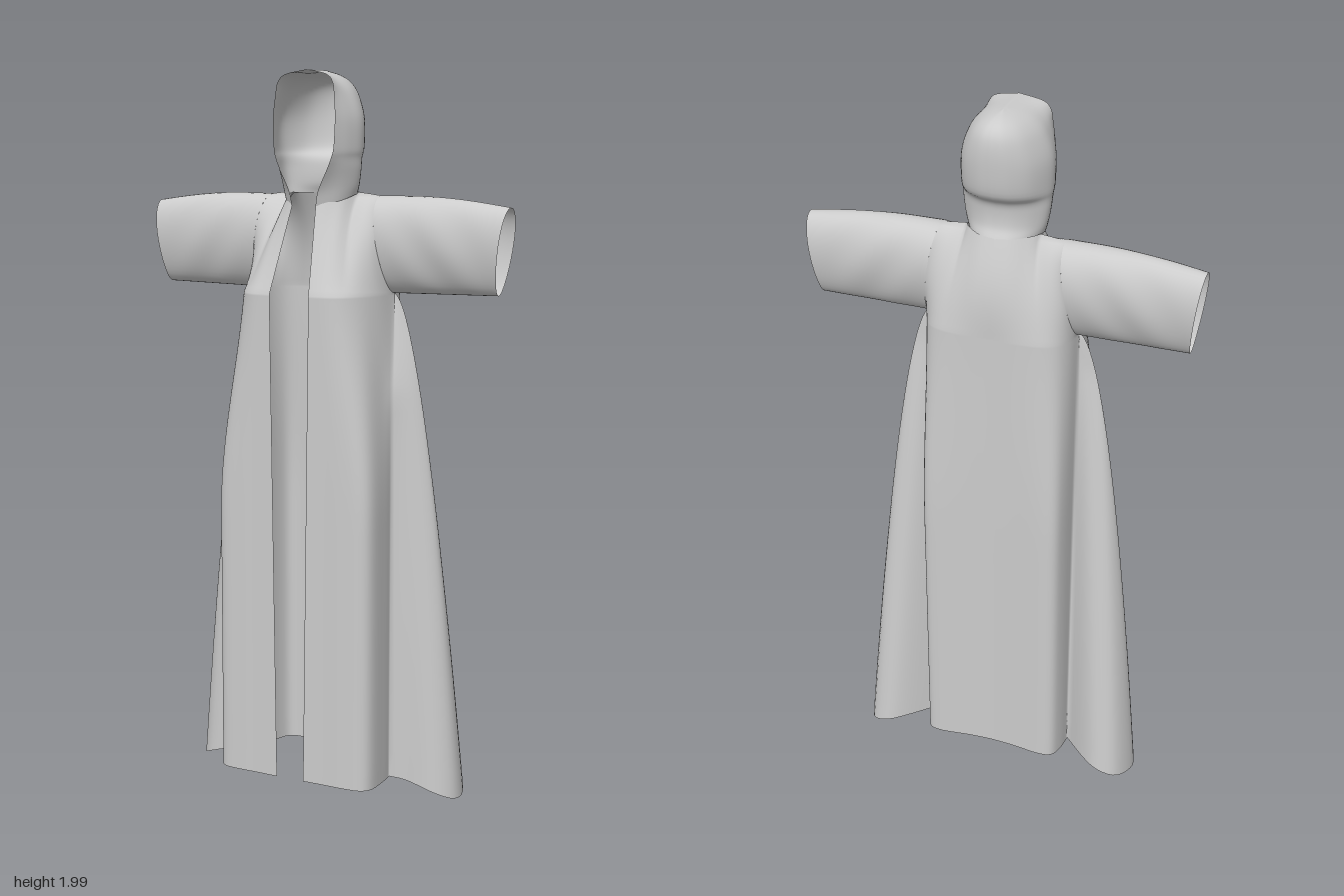
import * as THREE from 'three';
import { mergeGeometries, mergeVertices } from 'three/addons/utils/BufferGeometryUtils.js';

const V = (x, y, z) => new THREE.Vector3(x, y, z);
const { lerp, smoothstep } = THREE.MathUtils;
const spline = (pts, n) => new THREE.CatmullRomCurve3(pts, false, 'catmullrom', 0.5).getPoints(n);
const flip = (row) => row.map((p) => V(-p.x, p.y, p.z)).reverse();
// half row (front edge to centre back) -> whole row
const whole = (half) => [...half, ...flip(half).slice(1)];

// Surface through equally long rows of points, rows running upwards
function grid(rows) {
  const n = rows[0].length, index = [];
  for (let j = 0; j < rows.length - 1; j++) {
    for (let i = 0; i < n - 1; i++) {
      const a = j * n + i, b = a + 1, c = a + n, d = c + 1;
      index.push(a, b, d, a, d, c);
    }
  }
  const g = new THREE.BufferGeometry().setFromPoints(rows.flat());
  g.setIndex(index);
  return g;
}

function smoothMesh(name, geometries) {
  const g = mergeVertices(mergeGeometries(geometries), 1e-4);
  g.computeVertexNormals();
  const mesh = new THREE.Mesh(g, new THREE.MeshStandardMaterial({ color: 0xcccccc, side: THREE.DoubleSide }));
  mesh.name = name;
  return mesh;
}

const CHEST = 1.405, HEM = 0.06;

// Teardrop ring of armhole and cuff: a = 0 at the top, PI at the bottom, front is a in 0..PI
const ring = (a, x, lean, y, ry, z, rz) => V(
  x + lean * Math.cos(a), y + ry * Math.cos(a), z + rz * Math.sin(a) * (1 + 0.18 * Math.cos(a)),
);
const armhole = (a) => ring(a, 0.19, -0.02, 1.535, 0.13, -0.04, 0.073);

// Control points of one half of the skirt; t = 0 at the chest, 1 at the hem.
// Rounded at the chest, the panels square off below while a fold opens at the side.
function skirtControls(t) {
  const y = lerp(CHEST, HEM, t);
  const w = 0.2 * Math.pow(t, 0.57);
  const open = Math.max(0, (t - 0.08) / 0.92);
  const square = smoothstep(t, -0.1, 0.45);
  const mix = (x0, z0, x1, z1) => V(lerp(x0, x1, square), y, lerp(z0, z1, square));
  const start = Math.min(1, t / 0.2);
  const frontValley = V(0.21 + 0.02 * start, y, lerp(-0.04, 0.012, start));
  const backValley = V(0.21, y, lerp(-0.04, -0.07, t));
  const lobe = (valley, k, z) => V(
    lerp(valley.x, 0.21 + w, k), y - 0.05 * t * t * k * k, lerp(lerp(valley.z, -0.038, k), z, open),
  );
  return {
    front: [
      V(lerp(0.06, 0.042, t), y, 0.167), mix(0.082, 0.166, 0.11, 0.166), mix(0.115, 0.16, 0.165, 0.166),
      mix(0.146, 0.138, 0.215, 0.16), mix(0.176, 0.095, 0.238, 0.13), mix(0.2, 0.03, 0.236, 0.06), frontValley,
    ],
    lobe: [
      frontValley, lobe(frontValley, 0.3, 0.008), lobe(frontValley, 0.72, 0.005), lobe(frontValley, 0.97, -0.03),
      lobe(backValley, 1, -0.08), lobe(backValley, 0.86, -0.14), lobe(backValley, 0.6, -0.155),
      lobe(backValley, 0.34, -0.13), backValley,
    ],
    back: [
      backValley, mix(0.2, -0.085, 0.205, -0.12), mix(0.176, -0.122, 0.19, -0.158),
      mix(0.135, -0.142, 0.15, -0.167), mix(0.07, -0.15, 0.07, -0.158), mix(0, -0.148, 0, -0.154),
    ],
  };
}

function skirt() {
  const rows = [], N = 32;
  for (let j = 0; j <= N; j++) {
    const c = skirtControls(Math.pow(1 - j / N, 1.6));
    rows.push(whole([
      ...spline(c.front, 24), ...spline(c.lobe, 28).slice(1), ...spline(c.back, 20).slice(1),
    ]));
  }
  return grid(rows);
}

// Chest and back panels, rising from the skirt to neck and shoulder, pulled on to the armhole
function yoke() {
  const { front, back } = skirtControls(0);
  const seam = [V(0.1, 1.673, -0.04), V(0.123, 1.671, -0.04), V(0.147, 1.668, -0.04), armhole(0)];
  const neckFront = [V(0.036, 1.64, 0.085), V(0.062, 1.65, 0.062), V(0.088, 1.663, 0.02), seam[0]];
  const neckBack = [seam[0], V(0.085, 1.674, -0.065), V(0.045, 1.672, -0.095), V(0, 1.67, -0.103)];
  const frontTop = [...spline(neckFront, 12), ...spline(seam, 12).slice(1)];
  const backTop = [...spline(seam, 12).reverse(), ...spline(neckBack, 8).slice(1)];
  const panel = (low, top, v, side, bulge) => {
    const n = low.length - 1, tip = side > 0 ? n : 0;
    const pull = armhole(side * Math.PI * (1 - v)).sub(low[tip].clone().lerp(top[tip], v));
    return low.map((p, i) => {
      const k = 1 - Math.abs(i - tip) / n;
      const q = p.clone().lerp(top[i], v).addScaledVector(pull, k * k);
      q.z += bulge * Math.sin(Math.PI * v) * (1 - k);
      return q;
    });
  };
  const frontLow = spline(front, 24), backLow = spline(back, 20);
  const frontRows = [], backRows = [], N = 16;
  for (let j = 0; j <= N; j++) {
    const v = j / N;
    frontRows.push(panel(frontLow, frontTop, v, 1, 0));
    backRows.push(whole(panel(backLow, backTop, v, -1, -0.018)));
  }
  return [grid(frontRows), grid(frontRows.map(flip)), grid(backRows)];
}

// Short wide sleeve from the armhole to a flat open cuff, with soft wrinkles
function sleeve(mirror) {
  const rows = [], N = 24, M = 40;
  for (let j = 0; j <= N; j++) {
    const s = j / N, row = [];
    for (let i = 0; i <= M; i++) {
      const a = (i / M) * Math.PI * 2;
      const p = armhole(a).lerp(ring(a, 0.53, 0.016, 1.525, 0.116, -0.048, 0.049), s);
      const fade = Math.sin(Math.PI * s);
      p.y += 0.01 * fade * Math.max(0, Math.cos(a));
      p.z += 0.003 * fade * Math.sin(a) * Math.sin(s * 13 + p.y * 25);
      row.push(p);
    }
    rows.push(mirror ? flip(row) : row);
  }
  return grid(rows);
}

function hood() {
  // height, rim x, rim z, side x, back z, drop of the front
  const levels = [
    [1.668, 0.036, 0.086, 0.102, -0.104, 0.03], [1.695, 0.045, 0.088, 0.11, -0.09, 0.015],
    [1.735, 0.072, 0.09, 0.116, -0.088, 0], [1.765, 0.085, 0.09, 0.118, -0.095, 0],
    [1.795, 0.092, 0.088, 0.122, -0.122, 0], [1.87, 0.095, 0.086, 0.12, -0.132, 0],
    [1.93, 0.09, 0.082, 0.1, -0.131, 0], [1.965, 0.084, 0.08, 0.075, -0.118, 0],
    [1.986, 0.062, 0.078, 0.042, -0.088, 0], [1.998, 0, 0.076, 0, -0.04, 0],
  ];
  const halves = levels.map(([y, rx, rz, sx, bz, drop]) => spline([
    V(rx, y - drop, rz), V(lerp(rx, sx, 0.75), y - drop * 0.5, 0.035), V(sx, y, -0.02),
    V(sx * 0.75, y, bz * 0.66), V(sx * 0.37, y, bz * 0.93), V(0, y, bz),
  ], 24));
  const columns = halves[0].map((_, i) => spline(halves.map((h) => h[i]), 45));
  const rows = columns[0].map((_, j) => whole(columns.map((c) => c[j])));
  return grid(rows);
}

export function createModel() {
  const robe = new THREE.Group();
  robe.name = 'hoodedRobe';
  robe.add(
    smoothMesh('robeBody', [skirt(), ...yoke()]),
    smoothMesh('leftSleeve', [sleeve(false)]),
    smoothMesh('rightSleeve', [sleeve(true)]),
    smoothMesh('hood', [hood()]),
  );
  return robe;
}
